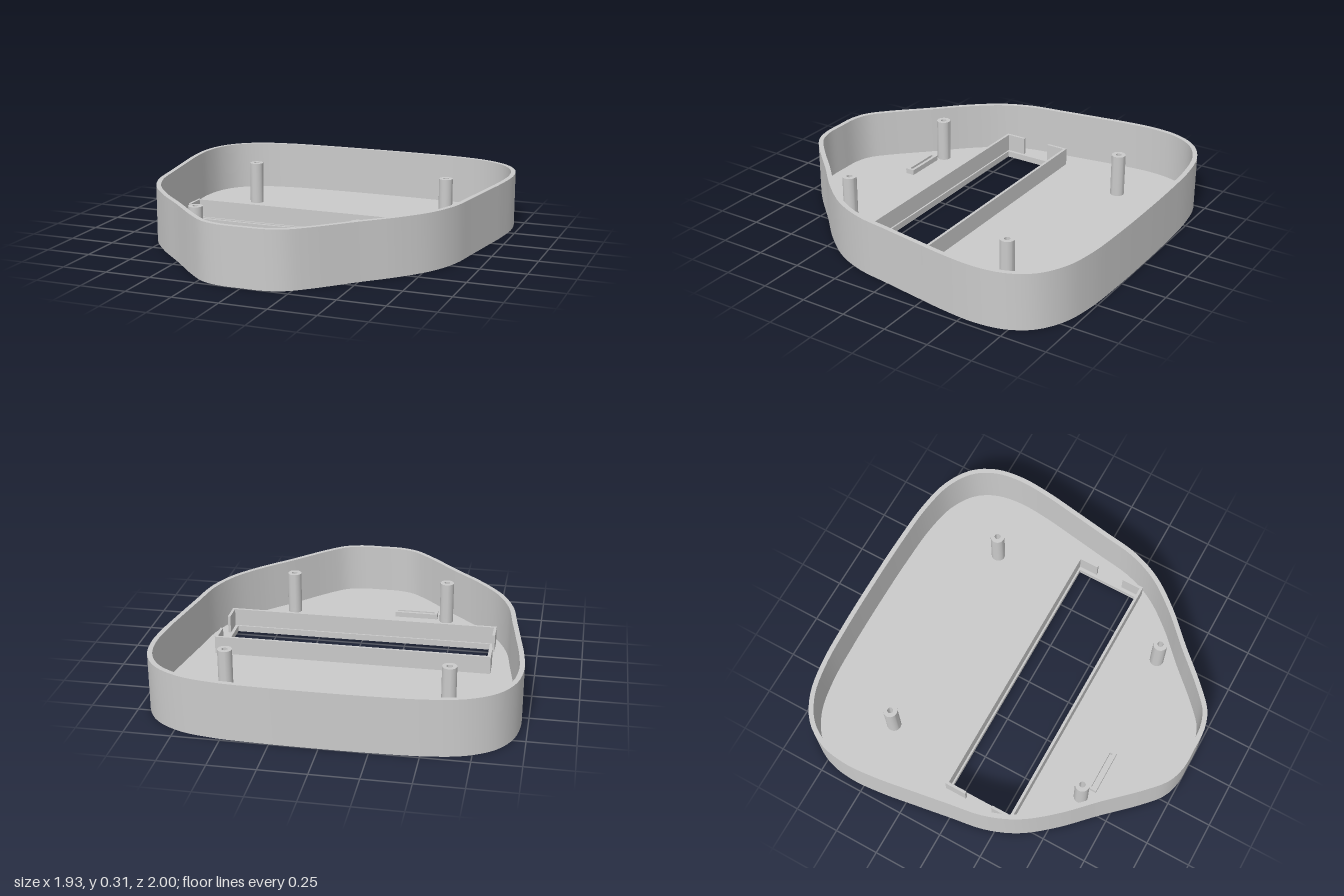
import * as THREE from 'three';
import { toCreasedNormals } from 'three/addons/utils/BufferGeometryUtils.js';

const HEIGHT = 0.31, FLOOR = 0.035, WALL = 0.026;

// Right half of the plan outline as [x, z], back to front
const HALF = [
  [0, -1], [0.3, -0.996], [0.54, -0.982], [0.725, -0.942], [0.862, -0.857], [0.938, -0.735],
  [0.965, -0.58], [0.954, -0.4], [0.924, -0.2], [0.892, 0], [0.858, 0.2], [0.787, 0.37],
  [0.66, 0.535], [0.5, 0.695], [0.32, 0.882], [0.22, 0.965], [0.12, 0.997], [0, 1],
];

// Plan points are (x, -z), so that extrusion along z becomes height
function outline(inset) {
  const mirrored = HALF.slice(1, -1).reverse().map(([x, z]) => [-x, z]);
  const pts = [...HALF, ...mirrored].map(([x, z]) => new THREE.Vector3(x, -z, 0));
  const curve = new THREE.CatmullRomCurve3(pts, true, 'centripetal');
  const n = 160, result = [];
  for (let i = 0; i < n; i++) {
    const p = curve.getPointAt(i / n), t = curve.getTangentAt(i / n);
    // The outline runs clockwise, so inward is to the right of the tangent
    result.push(new THREE.Vector2(p.x + t.y * inset, p.y - t.x * inset));
  }
  return result.reverse();
}

// Plan outlines are given counter-clockwise so walls and holes face the right way
const plan = (points) => points.map(([x, z]) => new THREE.Vector2(x, -z));
const rect = (x0, x1, z0, z1) => plan([[x0, z0], [x0, z1], [x1, z1], [x1, z0]]);

function circle(r) {
  return new THREE.Path().absarc(0, 0, r, 0, Math.PI * 2).getPoints(16).slice(0, -1);
}

export function createModel() {
  const group = new THREE.Group();
  const grey = new THREE.MeshStandardMaterial({ color: 0xcacaca });
  grey.name = 'grey plastic';

  // Extrudes a plan outline, with optional holes, upward from y
  function addSlab(name, points, holes, y, height) {
    const shape = new THREE.Shape(points);
    shape.holes = holes.map((h) => new THREE.Path(h));
    let geometry = new THREE.ExtrudeGeometry(shape, { depth: height, bevelEnabled: false, curveSegments: 1 });
    geometry.rotateX(-Math.PI / 2);
    geometry = toCreasedNormals(geometry, 0.6);
    const mesh = new THREE.Mesh(geometry, grey);
    mesh.name = name;
    mesh.position.y = y;
    group.add(mesh);
    return mesh;
  }

  // Shell: outer wall and floor with the display window
  const inner = outline(WALL);
  addSlab('outerWall', outline(0), [inner], 0, HEIGHT);
  addSlab('floor', inner, [rect(-0.732, 0.732, -0.069, 0.289)], 0, FLOOR);

  // Display rails: long bars with short returns at both ends
  const rail = (zOut, zIn, zEnd) => plan([
    [-0.765, zOut], [0.765, zOut], [0.765, zEnd], [0.75, zEnd],
    [0.75, zIn], [-0.75, zIn], [-0.75, zEnd], [-0.765, zEnd],
  ]);
  addSlab('backRail', rail(-0.094, -0.079, 0.029).reverse(), [], FLOOR, 0.1);
  addSlab('frontRail', rail(0.313, 0.298, 0.19), [], FLOOR, 0.1);

  // Hollow screw posts
  for (const [x, z] of [[-0.588, -0.528], [0.588, -0.528], [-0.452, 0.569], [0.452, 0.569]]) {
    const post = addSlab('screwPost', circle(0.039), [circle(0.016)], FLOOR, 0.24);
    post.position.x = x;
    post.position.z = z;
  }

  // Low slotted holder beside the front post
  addSlab('slotHolder', rect(-0.397, -0.15, 0.579, 0.631), [rect(-0.382, -0.165, 0.596, 0.612)], FLOOR, 0.03);

  return group;
}
